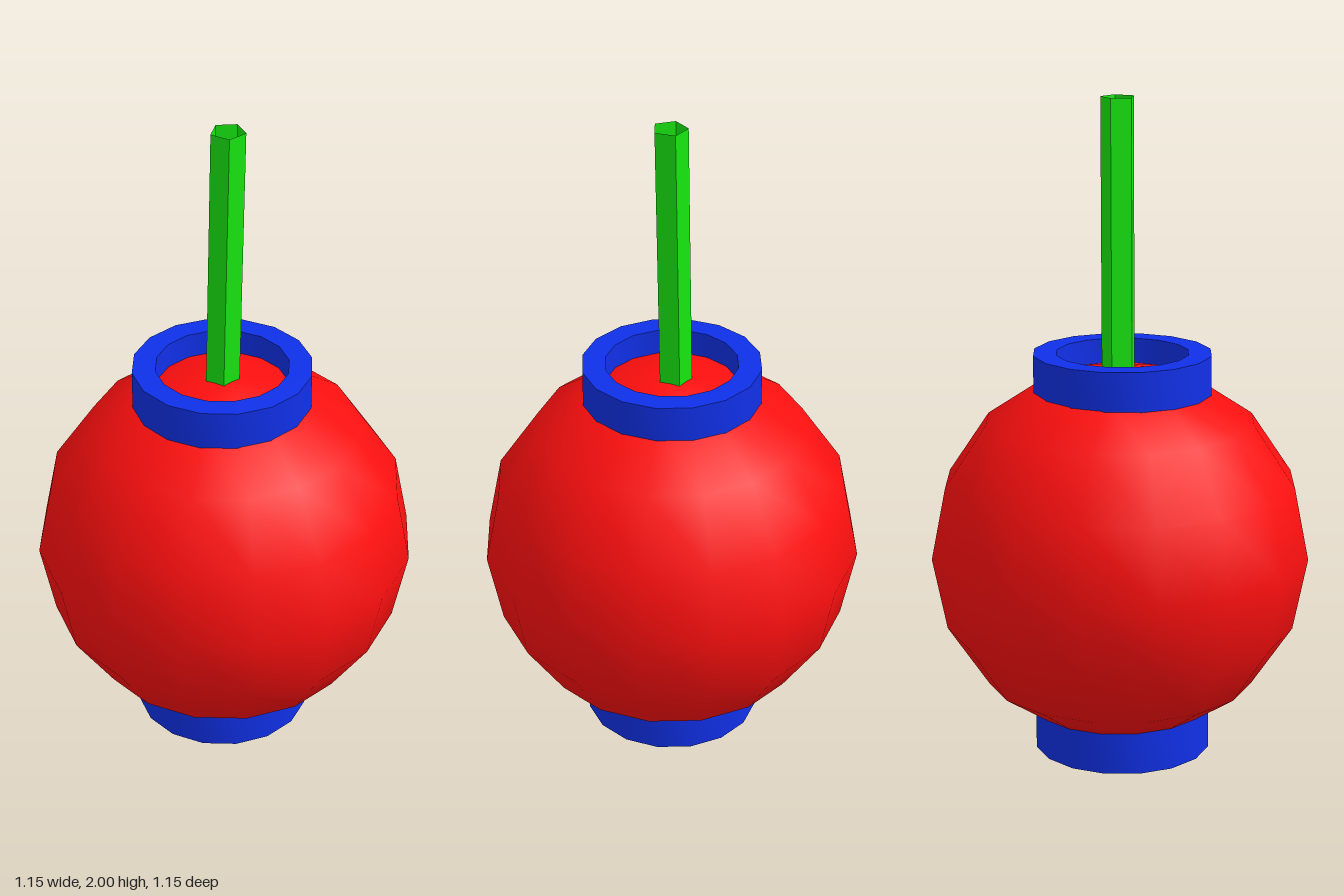
import * as THREE from 'three';
import { toCreasedNormals } from 'three/addons/utils/BufferGeometryUtils.js';

const paint = (color, extra = {}) => new THREE.MeshStandardMaterial({ color, ...extra });

export function createModel() {
  const model = new THREE.Group();
  model.name = 'lantern';

  const add = (name, geometry, material, x, y, z) => {
    const mesh = new THREE.Mesh(geometry, material);
    mesh.name = name;
    mesh.position.set(x, y, z);
    model.add(mesh);
  };

  // Round body
  const centerY = 0.625;
  add('body', new THREE.SphereGeometry(0.577, 16, 8), paint(0xff0f0f), 0, centerY, 0);

  // Collars: square-section rings partly sunk into the body
  const outer = 0.27, inner = 0.2, height = 0.16;
  const profile = [
    [outer, 0], [outer, height], [inner, height], [inner, 0], [outer, 0],
  ].map(([r, y]) => new THREE.Vector2(r, y));
  const collar = toCreasedNormals(new THREE.LatheGeometry(profile, 16), 0.7);
  const blue = paint(0x1030e8);
  add('bottomCollar', collar, blue, -0.006, 0, 0.006);
  add('topCollar', collar, blue, -0.006, 1.24 - height, 0.006);

  // Stem: open five-sided tube leaning slightly, with level ends
  const stemBottom = 1.12, stemTop = 2, lean = 0.02;
  const stem = new THREE.CylinderGeometry(0.0525, 0.0525, stemTop - stemBottom, 5, 1, true);
  stem.rotateY(Math.PI / 2);
  stem.applyMatrix4(new THREE.Matrix4().makeShear(0, 0, lean, 0, 0, 0));
  add('stem', stem, paint(0x18e810, { flatShading: true, side: THREE.DoubleSide }),
    -0.001, (stemBottom + stemTop) / 2, -0.004);

  return model;
}
